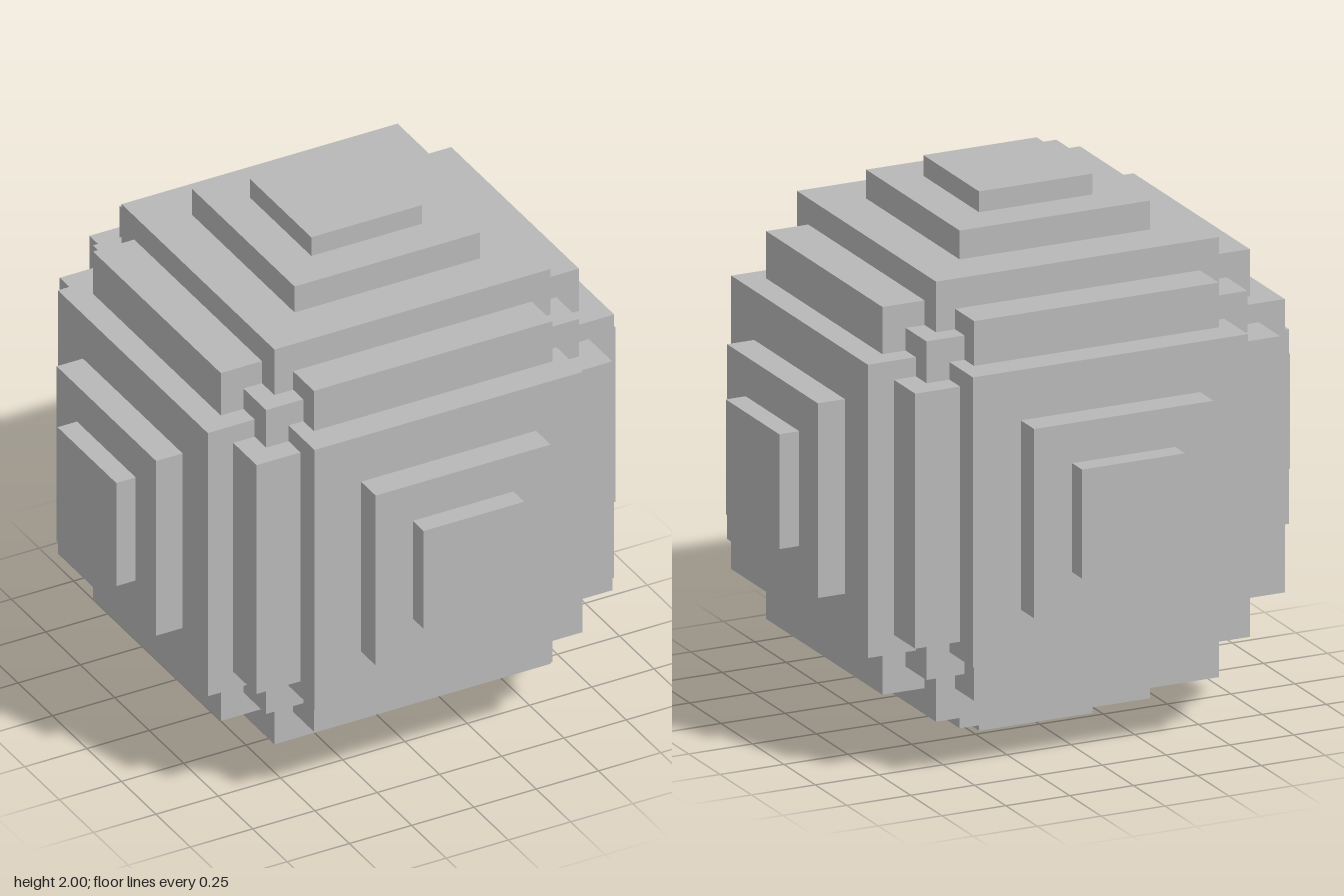
import * as THREE from 'three';

// Stepped block sphere: each layer is a box running straight through the centre.
export function createModel() {
  const model = new THREE.Group();
  model.name = 'steppedBlockSphere';
  const grey = new THREE.MeshStandardMaterial({ color: 0xb8b8b8 });
  grey.name = 'grey';

  // Half extents along x, y and z
  const layers = {
    // Three stepped slabs on every side
    sidePlates: [0.816, 0.544, 0.544],
    sideSteps: [0.922, 0.361, 0.361],
    sideCaps: [1, 0.213, 0.213],
    topBottomPlates: [0.554, 0.816, 0.554],
    topBottomSteps: [0.372, 0.923, 0.372],
    topBottomCaps: [0.222, 1, 0.222],
    frontBackPlates: [0.538, 0.538, 0.816],
    frontBackSteps: [0.351, 0.351, 0.922],
    frontBackCaps: [0.202, 0.202, 1],
    // Bars along the twelve edges
    edgeBarsAlongX: [0.479, 0.704, 0.704],
    edgeBarsAlongY: [0.714, 0.473, 0.714],
    edgeBarsAlongZ: [0.719, 0.719, 0.463],
    // Eight corner cubes
    cornerCubes: [0.628, 0.628, 0.628],
  };

  for (const [name, [x, y, z]] of Object.entries(layers)) {
    const mesh = new THREE.Mesh(new THREE.BoxGeometry(2 * x, 2 * y, 2 * z), grey);
    mesh.name = name;
    mesh.position.y = 1;
    model.add(mesh);
  }
  return model;
}
